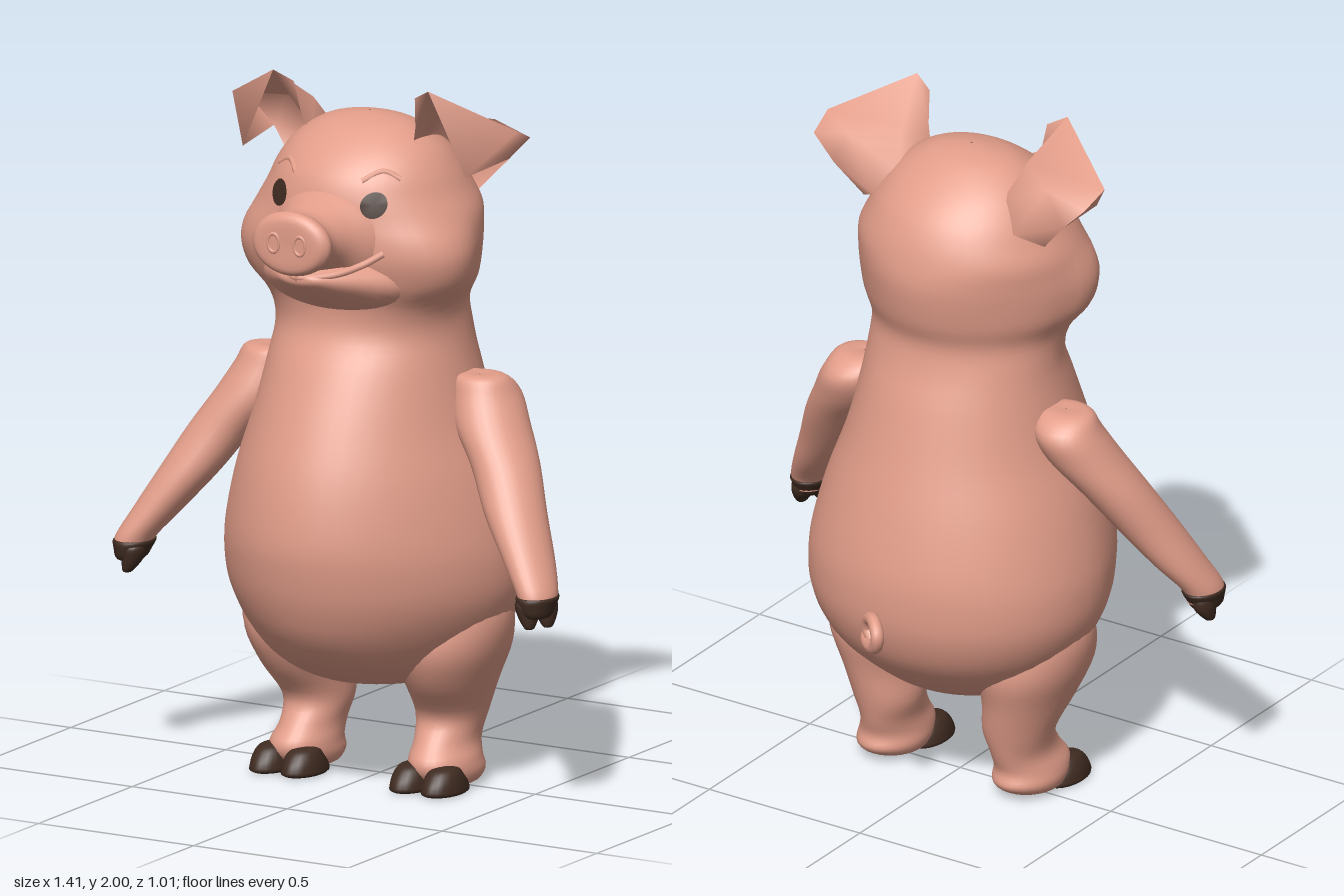
import * as THREE from 'three';

const skin = new THREE.MeshStandardMaterial({ color: 0xe29d89, side: THREE.DoubleSide });
skin.name = 'pink skin';
const dark = new THREE.MeshStandardMaterial({ color: 0x3f2b21, side: THREE.DoubleSide });
dark.name = 'dark hoof';

// Smooth value between the middle two of four numbers
const smooth = (a, b, c, d, t) =>
  b + 0.5 * t * (c - a + t * (2 * a - 5 * b + 4 * c - d + t * (3 * (b - c) + d - a)));

// Skin through elliptical rows [x, y, z, r1, r2, pinch], stacked along 'y' or 'z';
// pinch narrows the front of an upright row, a negative one widens it
function loft(rows, axis = 'y', sides = 36, steps = 4) {
  const pos = [], idx = [];
  const at = i => rows[Math.min(Math.max(i, 0), rows.length - 1)];
  const rings = (rows.length - 1) * steps;
  for (let k = 0; k <= rings; k++) {
    const i = Math.min(Math.floor(k / steps), rows.length - 2), t = k / steps - i;
    const [x, y, z, r1, r2, pinch = 0] = rows[0].map((_, n) =>
      smooth(at(i - 1)[n], at(i)[n], at(i + 1)[n], at(i + 2)[n], t));
    for (let j = 0; j < sides; j++) {
      const a = j / sides * Math.PI * 2, front = -Math.sin(a);
      const u = r1 * Math.cos(a) * (1 - pinch * Math.max(front, front / 2));
      const v = r2 * Math.sin(a);
      if (axis === 'y') pos.push(x + u, y, z - v);
      else pos.push(x + u, y + v, z);
    }
  }
  for (let k = 0; k < rings; k++) for (let j = 0; j < sides; j++) {
    const a = k * sides + j, b = k * sides + (j + 1) % sides;
    idx.push(a, b, b + sides, a, b + sides, a + sides);
  }
  return indexed(pos, idx);
}

function indexed(pos, idx) {
  const g = new THREE.BufferGeometry();
  g.setAttribute('position', new THREE.Float32BufferAttribute(pos, 3));
  g.setIndex(idx);
  g.computeVertexNormals();
  return g;
}

// [y, half width, front z, back z, pinch] to a centred loft row
const upright = ([y, rx, zf, zb, pinch]) => [0, y, (zf + zb) / 2, rx, (zf - zb) / 2, pinch];
// Mirror loft rows to the other side
const flip = (rows, s) => rows.map(([x, ...rest]) => [x * s, ...rest]);

const tube = (pts, r, segs = 40) => new THREE.TubeGeometry(
  new THREE.CatmullRomCurve3(pts.map(p => new THREE.Vector3(...p))), segs, r, 10);

// Belly, neck, cheeks and crown in one smooth profile
const torsoRows = [
  [0.27, 0.003, 0.03, 0.02, 0], [0.295, 0.18, 0.19, -0.14, 0.05], [0.36, 0.29, 0.32, -0.24, 0.12],
  [0.45, 0.37, 0.41, -0.33, 0.17], [0.55, 0.42, 0.46, -0.375, 0.17], [0.65, 0.432, 0.485, -0.387, 0.17],
  [0.75, 0.42, 0.492, -0.38, 0.17], [0.9, 0.382, 0.465, -0.345, 0.15], [1.05, 0.33, 0.41, -0.3, 0.1],
  [1.2, 0.295, 0.34, -0.255, 0.05], [1.3, 0.28, 0.285, -0.22, 0],
];
const headRows = [
  [1.38, 0.284, 0.28, -0.207, -0.15], [1.45, 0.32, 0.3, -0.23, -0.33],
  [1.52, 0.334, 0.32, -0.245, -0.36], [1.58, 0.332, 0.325, -0.25, -0.28], [1.64, 0.32, 0.325, -0.24, -0.08],
  [1.7, 0.29, 0.32, -0.22, 0], [1.76, 0.26, 0.295, -0.185, 0], [1.82, 0.215, 0.24, -0.125, 0],
  [1.87, 0.14, 0.165, -0.05, 0], [1.89, 0.065, 0.1, 0.01, 0], [1.895, 0.003, 0.06, 0.054, 0],
];

// Depth of the upper face at x, y
function faceZ(x, y) {
  const i = headRows.findIndex(r => r[0] > y);
  const a = headRows[i - 1], b = headRows[i], t = (y - a[0]) / (b[0] - a[0]);
  const [, , zc, rx, rz] = upright(a.map((v, n) => v + (b[n] - v) * t));
  return zc + rz * Math.sqrt(Math.max(0, 1 - (x / rx) ** 2));
}

export function createModel() {
  const model = new THREE.Group();
  const add = (name, geo, mat = skin, parent = model) => {
    const m = new THREE.Mesh(geo, mat);
    m.name = name;
    parent.add(m);
    return m;
  };

  add('torsoAndHead', loft([...torsoRows, ...headRows].map(upright), 'y', 48));

  // Muzzle flaring into the flat nose disc
  add('snout', loft([
    [0, 1.56, 0.15, 0.27, 0.16], [0, 1.575, 0.28, 0.18, 0.15], [0, 1.59, 0.35, 0.128, 0.112],
    [0, 1.595, 0.4, 0.11, 0.09], [0, 1.6, 0.44, 0.11, 0.083], [0, 1.602, 0.468, 0.124, 0.09],
    [0, 1.602, 0.488, 0.118, 0.088], [0, 1.6, 0.503, 0.09, 0.066], [0, 1.6, 0.503, 0.003, 0.003],
  ], 'z'));
  add('chin', loft([
    [0, 1.45, 0.12, 0.27, 0.1], [0, 1.46, 0.26, 0.22, 0.09], [0, 1.476, 0.35, 0.15, 0.062],
    [0, 1.487, 0.41, 0.092, 0.038], [0, 1.493, 0.445, 0.05, 0.018], [0, 1.494, 0.452, 0.003, 0.003],
  ], 'z'));
  add('smilingLip', tube([
    [-0.19, 1.56, 0.3], [-0.145, 1.53, 0.335], [-0.09, 1.508, 0.4], [0, 1.5, 0.445],
    [0.09, 1.508, 0.4], [0.145, 1.53, 0.335], [0.19, 1.56, 0.3]], 0.01));

  // Curly tail
  add('tail', tube([
    [0.03, 0.57, -0.35], [0.04, 0.56, -0.4], [0, 0.555, -0.45], [-0.04, 0.575, -0.48],
    [-0.05, 0.61, -0.488], [-0.02, 0.638, -0.46], [0.015, 0.625, -0.43],
    [0.025, 0.59, -0.42], [0.005, 0.565, -0.43]], 0.019, 60));

  for (const s of [1, -1]) {
    const side = s > 0 ? 'left' : 'right';

    // Nostril rim
    const nostril = add(side + 'Nostril', new THREE.TorusGeometry(0.02, 0.005, 8, 20));
    nostril.scale.set(0.9, 1.3, 1);
    nostril.position.set(s * 0.042, 1.605, 0.502);

    // Eye disc laid on the face, with a soft brow above
    const eye = new THREE.CircleGeometry(1, 28);
    const p = eye.attributes.position;
    for (let i = 0; i < p.count; i++) {
      const x = s * 0.152 + p.getX(i) * 0.033, y = 1.69 + p.getY(i) * 0.036;
      p.setXYZ(i, x, y, faceZ(x, y) + 0.009);
    }
    eye.computeVertexNormals();
    add(side + 'Eye', eye, dark);
    add(side + 'Brow', tube([[0.105, 1.75], [0.15, 1.775], [0.195, 1.755]]
      .map(([x, y]) => [s * x, y, faceZ(x, y) - 0.004]), 0.009, 16));

    // Ear: cupped back sheet plus a folded front flap
    const ear = new THREE.Group();
    ear.name = side + 'Ear';
    model.add(ear);
    const sheet = [
      [0.16, 1.78, 0.1], [0.17, 1.8, -0.05], [0.23, 1.73, -0.085], [0.3, 1.69, -0.03],
      [0.185, 1.88, 0.12], [0.205, 1.9, 0.02], [0.33, 1.885, -0.065], [0.38, 1.78, -0.06],
      [0.195, 1.97, 0.14], [0.25, 2.0, 0.16], [0.46, 1.885, 0.03], [0.45, 1.85, -0.055],
    ];
    const sheetIdx = [];
    for (let r = 0; r < 2; r++) for (let c = 0; c < 3; c++) {
      const a = r * 4 + c;
      sheetIdx.push(a, a + 1, a + 5, a, a + 5, a + 4);
    }
    const mirror = pts => pts.flatMap(([x, y, z]) => [x * s, y, z]);
    const wind = idx => s > 0 ? idx : idx.slice().reverse();
    add('earBack', indexed(mirror(sheet), wind(sheetIdx)), skin, ear);
    add('earFlap', indexed(mirror([sheet[9], sheet[10], [0.36, 1.765, 0.14], sheet[11], sheet[7]]),
      wind([0, 2, 1, 1, 2, 3, 3, 2, 4])), skin, ear);

    // Arm, sloping down, out and forward
    add(side + 'Arm', loft(flip([
      [0.652, 0.6, 0.24, 0.045, 0.06], [0.648, 0.64, 0.235, 0.054, 0.068],
      [0.597, 0.72, 0.195, 0.068, 0.082], [0.525, 0.83, 0.145, 0.085, 0.092],
      [0.455, 0.95, 0.085, 0.095, 0.1], [0.385, 1.05, 0.04, 0.105, 0.108],
      [0.35, 1.13, 0.012, 0.095, 0.1], [0.335, 1.18, 0.025, 0.075, 0.06],
      [0.335, 1.182, 0.025, 0.003, 0.003]], s), 'y', 28));

    // Hand hoof: cuff and two tapered toes
    const hand = new THREE.Group();
    hand.name = side + 'HandHoof';
    model.add(hand);
    add('cuff', loft(flip([
      [0.657, 0.57, 0.247, 0.003, 0.003], [0.656, 0.58, 0.246, 0.036, 0.05],
      [0.652, 0.61, 0.242, 0.05, 0.066], [0.65, 0.632, 0.237, 0.056, 0.071],
      [0.65, 0.636, 0.237, 0.04, 0.05]], s), 'y', 24), dark, hand);
    for (const [x, z] of [[0.667, 0.217], [0.638, 0.267]]) {
      add('toe', loft(flip([
        [x + 0.01, 0.545, z + 0.01, 0.003, 0.003], [x + 0.01, 0.55, z + 0.01, 0.014, 0.018],
        [x, 0.585, z, 0.029, 0.036], [x - 0.005, 0.62, z, 0.03, 0.036],
        [x - 0.005, 0.632, z, 0.003, 0.003]], s), 'y', 18), dark, hand);
    }

    // Leg with foot, its thigh sinking smoothly into the hip
    add(side + 'Leg', loft(flip([
      [0.225, 0.008, 0.02, 0.003, 0.003], [0.225, 0.01, 0.015, 0.075, 0.085],
      [0.225, 0.04, 0.014, 0.095, 0.13], [0.223, 0.08, 0.022, 0.092, 0.13],
      [0.216, 0.13, -0.003, 0.083, 0.12], [0.215, 0.2, -0.028, 0.098, 0.114],
      [0.232, 0.3, 0, 0.12, 0.165], [0.235, 0.4, 0.01, 0.158, 0.2],
      [0.215, 0.5, 0.01, 0.19, 0.19], [0.18, 0.62, 0.01, 0.19, 0.17]], s), 'y', 32));

    // Foot hoof: two broad toes
    for (const dx of [-0.05, 0.052]) {
      const x = 0.225 + dx;
      add(side + 'FootToe', loft(flip([
        [x, 0, 0.112, 0.003, 0.003], [x, 0.001, 0.112, 0.052, 0.084],
        [x, 0.022, 0.114, 0.055, 0.087], [x, 0.05, 0.116, 0.048, 0.066],
        [x, 0.07, 0.113, 0.034, 0.044], [x, 0.079, 0.108, 0.003, 0.003]], s), 'y', 22), dark);
    }
  }
  return model;
}
